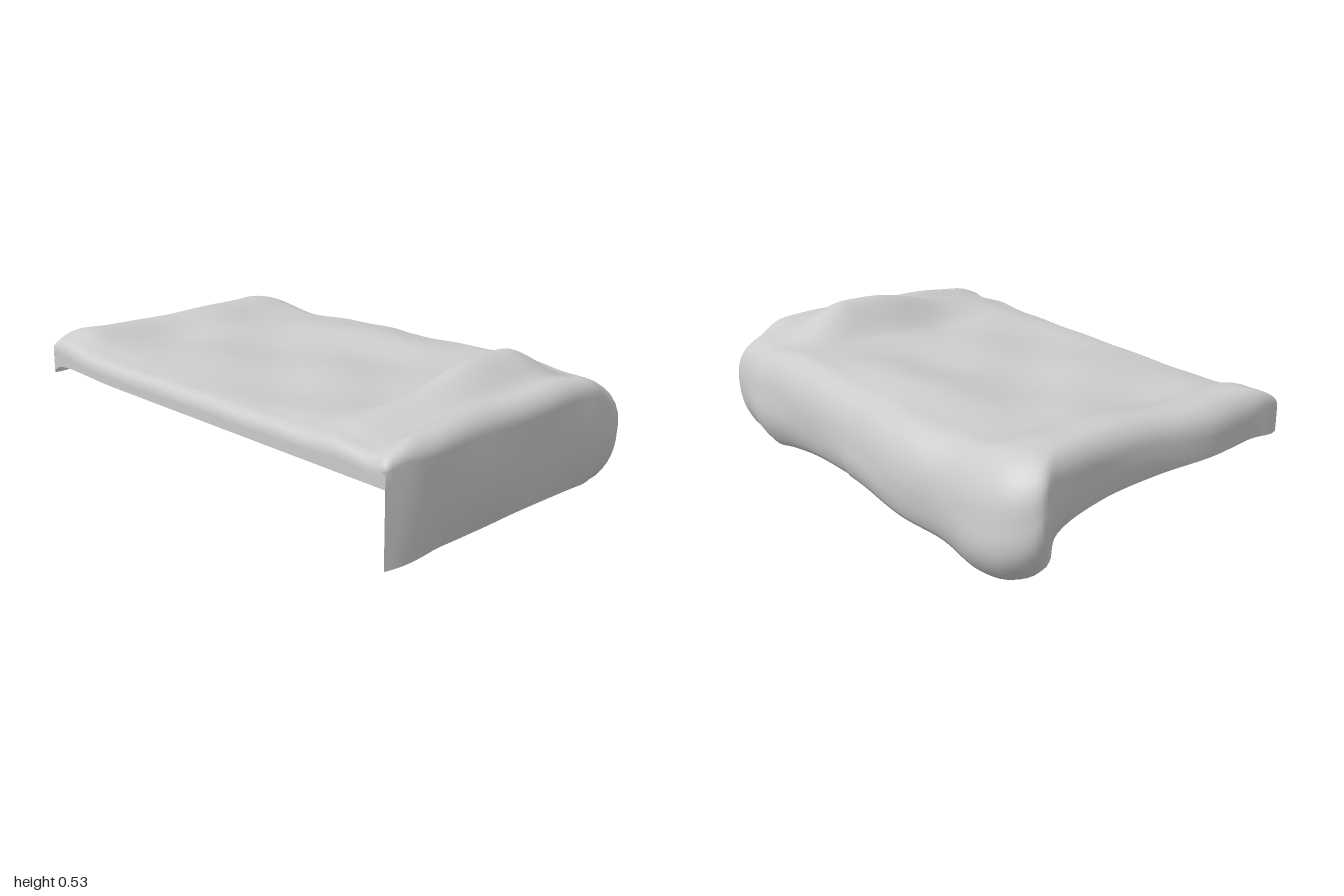
import * as THREE from 'three';
import { mergeVertices } from 'three/addons/utils/BufferGeometryUtils.js';

const { smoothstep, clamp, lerp } = THREE.MathUtils;
const bell = (v, centre, width) => Math.exp(-(((v - centre) / width) ** 2));

// Outline of the cover seen from above: x, height of the hem, z.
// Starts and ends at the open front corner on the left.
const OUTLINE = [
  [0.945, 0.035, 0.64], [0.98, 0.04, 0.5], [0.985, 0.04, 0.2], [0.98, 0.04, 0], [0.975, 0.035, -0.3],
  [0.97, 0.03, -0.55], [0.93, 0.025, -0.615], [0.8, 0.025, -0.635], [0.65, 0.005, -0.65], [0.5, 0.03, -0.64],
  [0.3, 0.06, -0.63], [0, 0.08, -0.625], [-0.4, 0.06, -0.635], [-0.6, 0.04, -0.6],
  [-0.8, 0.01, -0.605], [-0.93, 0.015, -0.575], [-1, 0.05, -0.5], [-0.97, 0.16, -0.4],
  [-0.935, 0.21, -0.2], [-0.93, 0.24, 0.05], [-0.95, 0.26, 0.3], [-0.93, 0.27, 0.5],
  [-0.92, 0.27, 0.64], [-0.88, 0.3, 0.64], [-0.5, 0.3, 0.64], [0, 0.3, 0.64],
  [0.5, 0.3, 0.64], [0.945, 0.3, 0.64],
];

// Height of the top: raised rims, a pillow bulge near the left end, soft wrinkles
function topHeight(x, z) {
  const rims = 0.045 * bell(x, -0.84, 0.13) * smoothstep(z, -0.62, -0.35) + 0.05 * bell(x, 0.93, 0.06);
  const back = 0.022 * bell(z, -0.35, 0.15) * bell(x, 0, 0.6);
  const across = smoothstep(x, 0.51, 0.71) * (1 - smoothstep(x, 0.69, 0.95));
  const along = smoothstep(clamp(0.57 - z, 0, 1), -0.15, 0.68) * smoothstep(z, -0.55, -0.2);
  const wrinkles = 0.01 * Math.sin(7 * x + 2 * z) * Math.sin(9 * z - 2 * x + 1)
    + 0.005 * Math.sin(15 * x - 6 * z) * Math.sin(8 * z + 5 * x);
  const frontFade = smoothstep(z, 0.5, 0.65);
  return 0.395 + (rims + wrinkles) * (1 - 0.8 * frontFade) + back + 0.13 * across * along - 0.01 * frontFade;
}

// Move an outline point towards the middle by a distance
const inset = (p, d) => [p.x * (1 - d / 0.97), p.z * (1 - d / 0.64)];

// One strip of cloth from the middle of the top, over the edge and down to the hem
function strip(p) {
  const points = [];
  const backness = smoothstep(-p.z, 0.4, 0.57);
  const sideRadius = p.x > 0 ? 0.07 : 0.09;
  const radius = lerp(sideRadius, 0.05, smoothstep(p.z, 0.45, 0.63)) + 0.05 * backness;
  const drop = radius + 0.05 * backness;

  // top
  for (let j = 0; j <= 26; j++) {
    const [x, z] = inset(p, 0.64 + (radius - 0.64) * (j / 26));
    points.push([x, topHeight(x, z), z]);
  }
  // rounded edge
  const rimY = points[26][1];
  for (let j = 1; j <= 7; j++) {
    const a = (j / 7) * Math.PI / 2;
    const [x, z] = inset(p, radius * (1 - Math.sin(a)));
    points.push([x, rimY - drop * (1 - Math.cos(a)), z]);
  }
  // hanging side, drawn in slightly towards the hem
  const startY = rimY - drop;
  const hang = smoothstep(startY - p.y, 0.05, 0.25) * (1 - smoothstep(p.z, 0.4, 0.62));
  for (let j = 1; j <= 8; j++) {
    const s = j / 8;
    const fold = 0.008 * Math.sin(Math.PI * s) * (Math.sin(9 * p.x + 11 * p.z) - 0.6);
    const [x, z] = inset(p, ((0.035 + 0.02 * backness) * s ** 3 + fold) * hang);
    points.push([x, startY + (p.y - startY) * s, z]);
  }
  // hem tucked under along the back
  const [hx, , hz] = points[points.length - 1];
  const rise = 0.03 + 0.035 * bell(p.x, -0.8, 0.25) + 0.09 * bell(p.x, 0.45, 0.35) * (1 - smoothstep(p.x, 0.6, 0.8));
  for (let j = 1; j <= 4; j++) {
    const s = j / 4;
    points.push([
      hx * (1 - 0.02 * s * backness),
      p.y + rise * s * s * backness,
      hz + 0.08 * Math.sin(s * Math.PI / 2) * backness,
    ]);
  }
  return points;
}

export function createModel() {
  const group = new THREE.Group();
  const curve = new THREE.CatmullRomCurve3(OUTLINE.map((p) => new THREE.Vector3(...p)), false, 'centripetal');
  const strips = curve.getSpacedPoints(260).map(strip);
  const rows = strips[0].length;
  const positions = strips.flat(2);
  const index = [];
  for (let i = 0; i < strips.length - 1; i++) {
    for (let j = 0; j < rows - 1; j++) {
      const a = i * rows + j, b = a + 1, c = a + rows, d = c + 1;
      index.push(a, b, d, a, d, c);
    }
  }
  let geometry = new THREE.BufferGeometry();
  geometry.setAttribute('position', new THREE.Float32BufferAttribute(positions, 3));
  geometry.setIndex(index);
  geometry = mergeVertices(geometry, 1e-4);
  geometry.computeVertexNormals();

  const cover = new THREE.Mesh(geometry, new THREE.MeshStandardMaterial({ color: 0xcccccc, side: THREE.DoubleSide }));
  cover.name = 'drapedBedCover';
  group.add(cover);
  return group;
}
